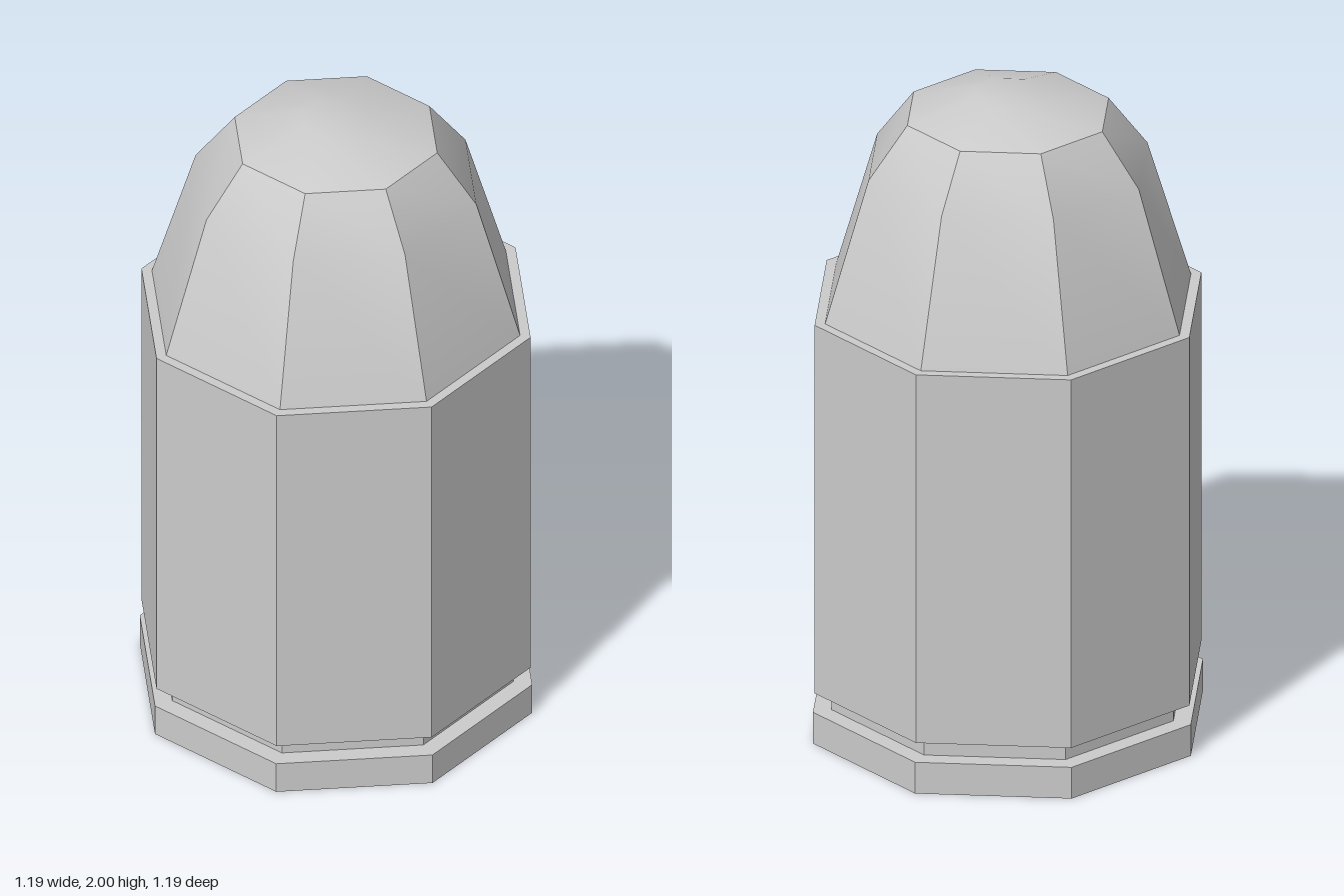
import * as THREE from 'three';
import { toCreasedNormals } from 'three/addons/utils/BufferGeometryUtils.js';

const material = new THREE.MeshStandardMaterial({ color: 0xcccccc });

// Eight-sided turned part from [radius, height] pairs, listed bottom to top
function turned(name, profile) {
  const points = profile.map(([r, y]) => new THREE.Vector2(r, y));
  const geometry = toCreasedNormals(new THREE.LatheGeometry(points, 8), THREE.MathUtils.degToRad(28));
  const mesh = new THREE.Mesh(geometry, material);
  mesh.name = name;
  return mesh;
}

export function createModel() {
  const group = new THREE.Group();
  group.name = 'cartridge';

  // Casing: flat base, rim, extractor groove, straight wall and mouth lip
  group.add(turned('casing', [
    [0, 0], [0.597, 0], [0.597, 0.1], [0.54, 0.1], [0.54, 0.16],
    [0.592, 0.16], [0.592, 1.34], [0.56, 1.34],
  ]));

  // Bullet: tapered sides and a soft, blunt nose
  group.add(turned('bullet', [
    [0.56, 1.34], [0.427, 1.78], [0.308, 1.94], [0.107, 2], [0, 2],
  ]));

  return group;
}
